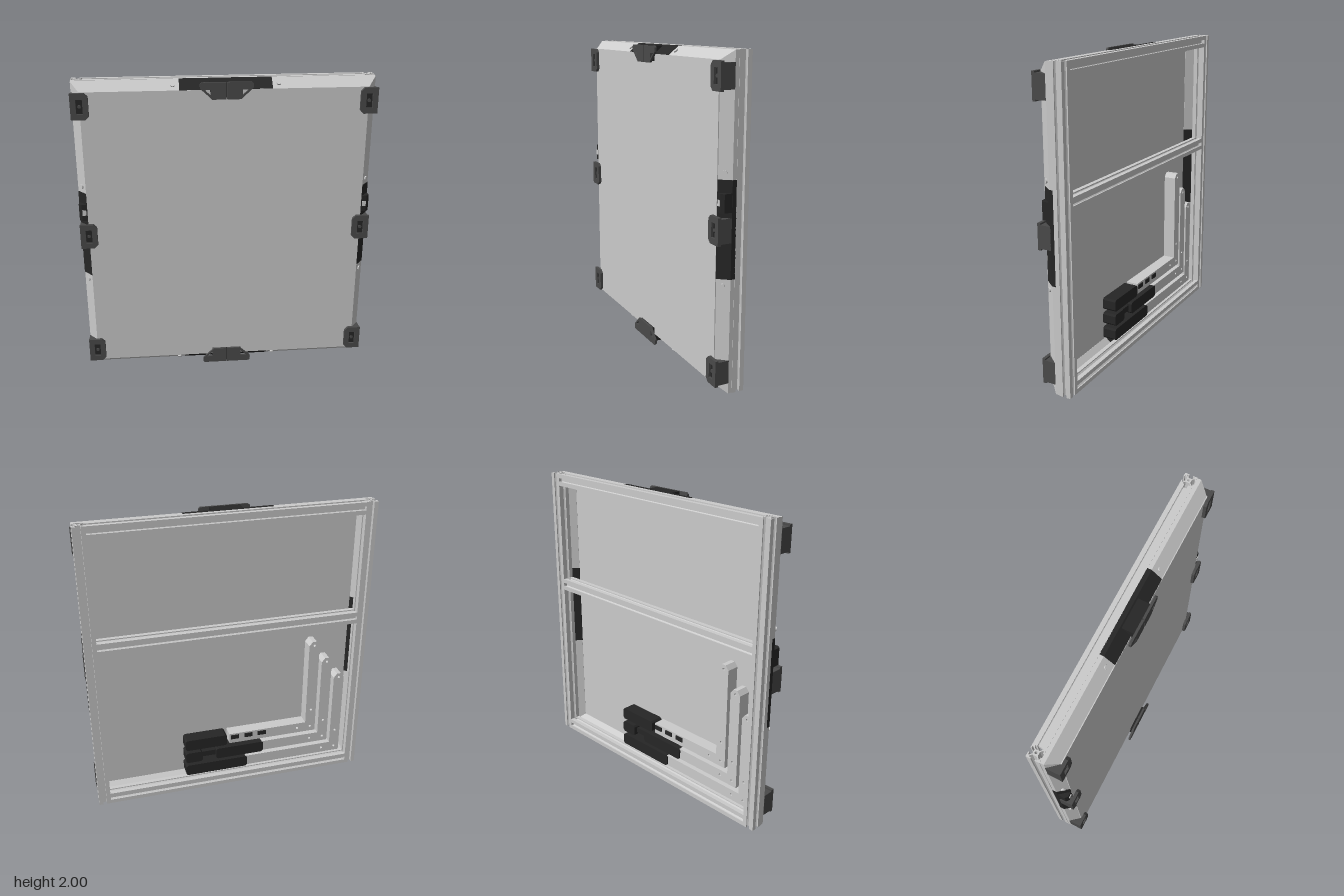
import * as THREE from 'three';

const HALF_W = 0.955, HALF_H = 1, RAIL = 0.08, RAIL_Z = -0.065;
const material = (color) => new THREE.MeshStandardMaterial({ color, flatShading: true, side: THREE.DoubleSide });
const grey = material(0xcccccc), black = material(0x262626), dark = material(0x4a4a4a);

function add(parent, name, geometry, mat, x = 0, y = 0, z = 0) {
  const mesh = new THREE.Mesh(geometry, mat);
  mesh.name = name;
  mesh.position.set(x, y, z);
  parent.add(mesh);
  return mesh;
}
const box = (w, h, d) => new THREE.BoxGeometry(w, h, d);
const shapeOf = (points) => new THREE.Shape(points.map(([x, y]) => new THREE.Vector2(x, y)));
const extrude = (shape, depth) => new THREE.ExtrudeGeometry(shape, { depth, bevelEnabled: false, curveSegments: 10 });
function drill(shape, x, y, r) {
  shape.holes.push(new THREE.Path().absarc(x, y, r, 0, Math.PI * 2, true));
}

// Prism running along a frame side; points are [inset from the outer edge, z]
function prism(points, length) {
  const g = extrude(shapeOf(points.map(([inset, z]) => [-z, -inset])), length);
  return g.translate(0, 0, -length / 2).rotateY(Math.PI / 2);
}

// Slotted rail section: one side's outline turned four times, with a centre bore
function railGeometry(length) {
  const h = RAIL / 2, points = [];
  const side = [[-h, h], [-0.012, h], [-0.012, 0.033], [-0.024, 0.033], [-0.024, 0.028], [-0.012, 0.016],
    [0.012, 0.016], [0.024, 0.028], [0.024, 0.033], [0.012, 0.033], [0.012, h]];
  for (let i = 0; i < 4; i++) {
    const c = Math.round(Math.cos(i * Math.PI / 2)), s = Math.round(Math.sin(i * Math.PI / 2));
    for (const [x, y] of side) points.push([x * c + y * s, -x * s + y * c]);
  }
  const shape = shapeOf(points);
  drill(shape, 0, 0, 0.008);
  return extrude(shape, length).translate(0, 0, -length / 2);
}

// Mitred rectangular ring swept from a closed [inset, z] profile
function ringGeometry(profile, halfW, halfH) {
  const corners = [[-1, -1], [1, -1], [1, 1], [-1, 1]], positions = [];
  const at = (i, k) => {
    const [cx, cy] = corners[i % 4], [inset, z] = profile[k % profile.length];
    return [cx * (halfW - inset), cy * (halfH - inset), z];
  };
  for (let i = 0; i < 4; i++) {
    for (let k = 0; k < profile.length; k++) {
      const a = at(i, k), b = at(i + 1, k), c = at(i + 1, k + 1), d = at(i, k + 1);
      positions.push(...a, ...b, ...c, ...a, ...c, ...d);
    }
  }
  const g = new THREE.BufferGeometry();
  g.setAttribute('position', new THREE.Float32BufferAttribute(positions, 3));
  g.computeVertexNormals();
  return g;
}

// Corner and middle clip: wedge on the slope, chamfered plate with a window
function addClip(side, x) {
  const clip = new THREE.Group();
  clip.name = 'edgeClip';
  clip.position.x = x;
  const plate = shapeOf([[-0.0825, 0], [-0.0825, -0.088], [-0.06, -0.11], [0.06, -0.11], [0.0825, -0.088], [0.0825, 0]]);
  plate.holes.push(shapeOf([[-0.045, -0.035], [0.045, -0.035], [0.045, -0.075], [-0.045, -0.075]]));
  add(clip, 'clipPlate', extrude(plate, 0.02), dark, 0, 0, 0.07);
  add(clip, 'clipWindowFloor', box(0.1, 0.05, 0.006), black, 0, -0.055, 0.074);
  add(clip, 'clipScrew', new THREE.CylinderGeometry(0.011, 0.011, 0.008, 10).rotateX(Math.PI / 2), dark, 0, -0.055, 0.08);
  add(clip, 'clipWedge', prism([[0, 0], [0, 0.07], [0.06, 0.07]], 0.145), dark);
  side.add(clip);
}

// Split latch at the middle of the top and bottom
function addLatch(side) {
  const latch = new THREE.Group();
  latch.name = 'latch';
  for (const s of [1, -1]) {
    const half = shapeOf([[0.003, -0.004], [0.155, -0.004], [0.165, -0.014], [0.165, -0.04], [0.1, -0.1], [0.09, -0.11], [0.003, -0.11]]
      .map(([x, y]) => [x * s, y]));
    half.holes.push(shapeOf([[0.1 * s, -0.05], [0.138 * s, -0.05], [0.1 * s, -0.084]]));
    add(latch, 'latchPlate', extrude(half, 0.015), dark, 0, 0, 0.085);
  }
  add(latch, 'latchNeck', prism([[0.004, 0.01], [0.004, 0.086], [0.1, 0.086], [0.1, 0.07], [0.055, 0.07]], 0.2), black);
  side.add(latch);
}

// Stored L-shaped bracket with a dark grip on its long foot
function addBracket(parent, index) {
  const x = -0.61 - index * 0.1, y = 0.33 - index * 0.105, top = 1.02 - index * 0.14, w = 0.038;
  const g = new THREE.Group();
  g.name = 'storedBracket';
  const shape = shapeOf([[0, y - w], [0, y + w], [x + w, y + w], [x + w, top - 0.03], [x + 0.015, top],
    [x - 0.015, top], [x - w, top - 0.03], [x - w, y - w]]);
  for (const hy of [top - 0.03, y + 0.14, y]) drill(shape, x, hy, 0.009);
  drill(shape, x + 0.1, y, 0.009);
  add(g, 'bracketArm', extrude(shape, 0.085), grey, 0, 0, -0.035);
  const grip = (x0, x1, half, z0) => {
    const c = 0.012;
    const outline = shapeOf([[x0 + c, y - half], [x1 - c, y - half], [x1, y - half + c], [x1, y + half - c],
      [x1 - c, y + half], [x0 + c, y + half], [x0, y + half - c], [x0, y - half + c]]);
    add(g, 'bracketGrip', extrude(outline, 0.05 - z0), black, 0, 0, z0);
  };
  if (index === 1) {
    grip(0.2, 0.32, 0.04, -0.045);
    grip(0.08, 0.21, 0.02, -0.02);
    grip(-0.25, 0.1, 0.041, -0.045);
  } else {
    grip(index ? -0.13 : 0.02, 0.32, 0.041, -0.045);
  }
  if (index === 0) {
    for (const gx of [-0.04, -0.14, -0.24]) add(g, 'gripPad', box(0.06, 0.03, 0.012), black, gx, y + 0.012, -0.036);
  }
  parent.add(g);
}

export function createModel() {
  const model = new THREE.Group();
  model.name = 'framedPanel';

  // Rear rail frame
  for (const s of [-1, 1]) {
    add(model, 'uprightRail', railGeometry(2 * HALF_H).rotateX(Math.PI / 2), grey, s * (HALF_W - RAIL / 2), HALF_H, RAIL_Z);
  }
  for (const y of [RAIL / 2, 1.2, 2 * HALF_H - RAIL / 2]) {
    add(model, 'crossRail', railGeometry(2 * (HALF_W - RAIL)).rotateY(Math.PI / 2), grey, 0, y, RAIL_Z);
  }

  // Front panel and sloped trim
  add(model, 'frontPanel', box(1.8, 1.89, 0.018), grey, 0, HALF_H, 0.06);
  const trim = [[0, -0.025], [0, 0], [0.054, 0.065], [0.068, 0.065], [0.068, 0.05], [0.022, -0.004], [0.022, -0.025]];
  add(model, 'slopedTrim', ringGeometry(trim, HALF_W - 0.002, HALF_H - 0.002), grey, 0, HALF_H, 0);

  // Fittings on each side; local y points outward, local x runs along the side
  const insert = [[0, -0.027], [0, 0.001], [0.054, 0.067], [0.072, 0.067], [0.072, 0.048], [0.026, -0.006], [0.026, -0.027]];
  for (let i = 0; i < 4; i++) {
    const side = new THREE.Group(), upright = i % 2 === 1;
    side.name = ['topSide', 'rightSide', 'bottomSide', 'leftSide'][i];
    side.rotation.z = i * Math.PI / 2;
    side.position.set([0, -HALF_W, 0, HALF_W][i], [2, 1, 0, 1][i], 0);
    if (upright) side.name = i === 1 ? 'rightSide' : 'leftSide';
    add(side, 'trimInsert', prism(insert, 0.58), black);
    for (const s of [-1, 1]) {
      const screw = add(side, 'trimScrew', new THREE.CylinderGeometry(0.014, 0.014, 0.014, 12), grey, s * 0.33, -0.029, 0.036);
      screw.rotation.x = 0.7;
    }
    if (upright) {
      for (const x of [-0.86, 0, 0.86]) addClip(side, x);
      const x = i === 1 ? 0.16 : -0.16;
      add(side, 'catchBlock', prism([[0.001, 0], [0.001, 0.05], [0.02, 0.066], [0.052, 0.066]], 0.11), black, x);
      add(side, 'catchButton', box(0.035, 0.025, 0.008), grey, x, -0.035, 0.066);
    } else {
      addLatch(side);
    }
    model.add(side);
  }

  // Brackets nested behind the panel
  for (let i = 0; i < 3; i++) addBracket(model, i);
  return model;
}
